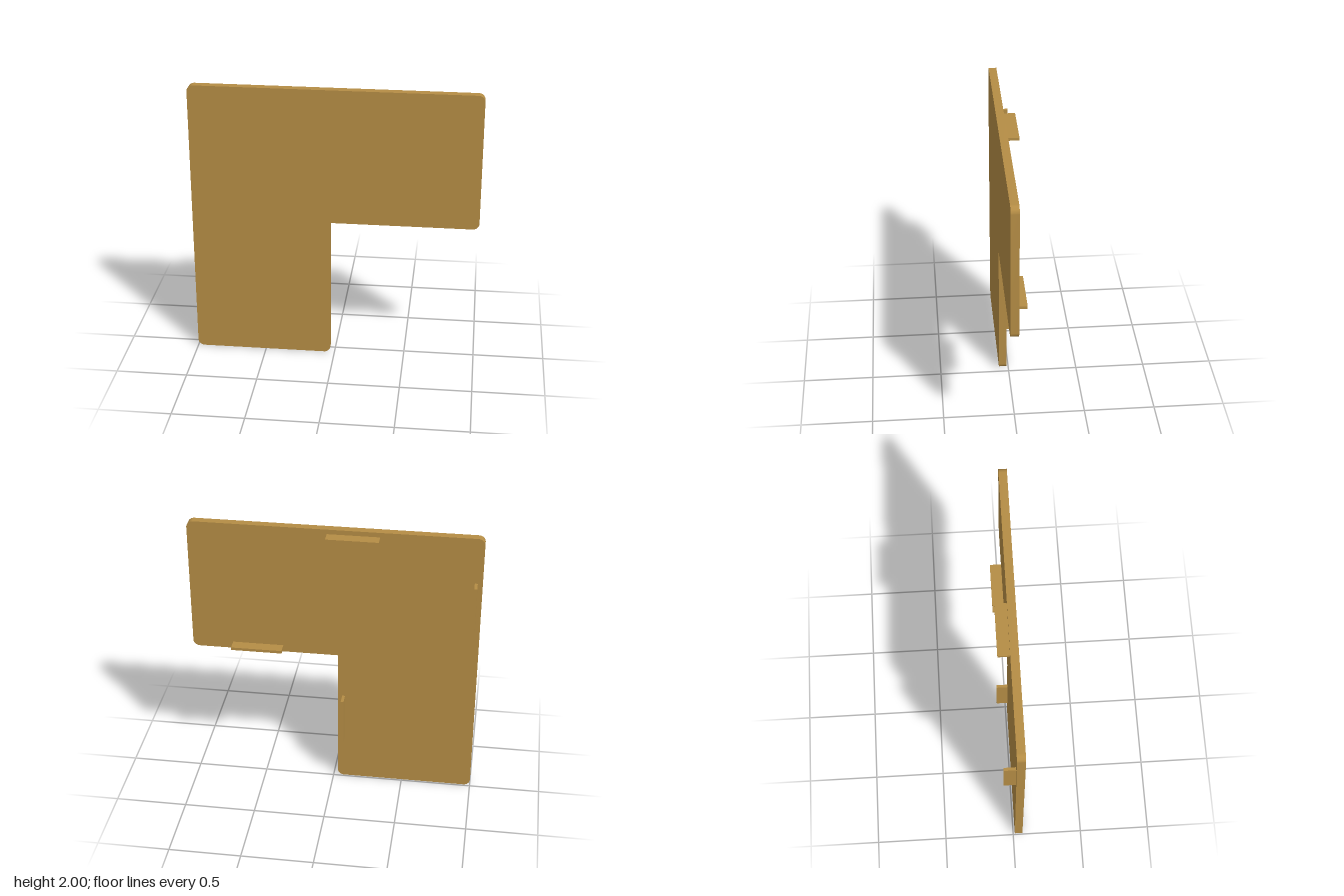
import * as THREE from 'three';
import { toCreasedNormals } from 'three/addons/utils/BufferGeometryUtils.js';

export function createModel() {
  const group = new THREE.Group();
  const material = new THREE.MeshStandardMaterial({ color: 0xb58d45 });
  const back = 0.012, front = 0.068, r = 0.045;

  // L-shaped panel: rounded outer corners, sharp inner corner
  const corners = [[-1, 0, r], [-0.03, 0, r], [-0.03, 1.03, 0], [1, 1.03, r], [1, 2, r], [-1, 2, r]];
  const shape = new THREE.Shape();
  corners.forEach(([x, y, radius], i) => {
    const [px, py] = corners[(i + 5) % 6];
    const [nx, ny] = corners[(i + 1) % 6];
    // step back from the corner, then round it towards the next one
    const ax = x + Math.sign(px - x) * radius, ay = y + Math.sign(py - y) * radius;
    const bx = x + Math.sign(nx - x) * radius, by = y + Math.sign(ny - y) * radius;
    if (i === 0) shape.moveTo(ax, ay);
    else shape.lineTo(ax, ay);
    if (radius) {
      const cx = ax + bx - x, cy = ay + by - y;
      const start = Math.atan2(ay - cy, ax - cx);
      shape.absarc(cx, cy, radius, start, start + Math.PI / 2, false);
    }
  });
  shape.closePath();
  const panelGeometry = new THREE.ExtrudeGeometry(shape, {
    depth: front - back, bevelEnabled: false, curveSegments: 8,
  });
  const panel = new THREE.Mesh(toCreasedNormals(panelGeometry, 0.6), material);
  panel.position.z = back;
  panel.name = 'panel';
  group.add(panel);

  // Thin tabs standing out from the back, along the long edges
  const length = 0.357, thick = 0.02, depth = 0.08;
  const addTab = (name, x, y, upright) => {
    const tab = new THREE.Mesh(
      new THREE.BoxGeometry(upright ? thick : length, upright ? length : thick, depth), material);
    tab.position.set(x, y, back - depth / 2);
    tab.name = name;
    group.add(tab);
  };
  addTab('topTab', -0.13, 1.957, false);
  addTab('innerHorizontalTab', 0.535, 1.07, false);
  addTab('outerSideTab', -0.957, 1.49, true);
  addTab('innerVerticalTab', -0.07, 0.517, true);

  return group;
}
